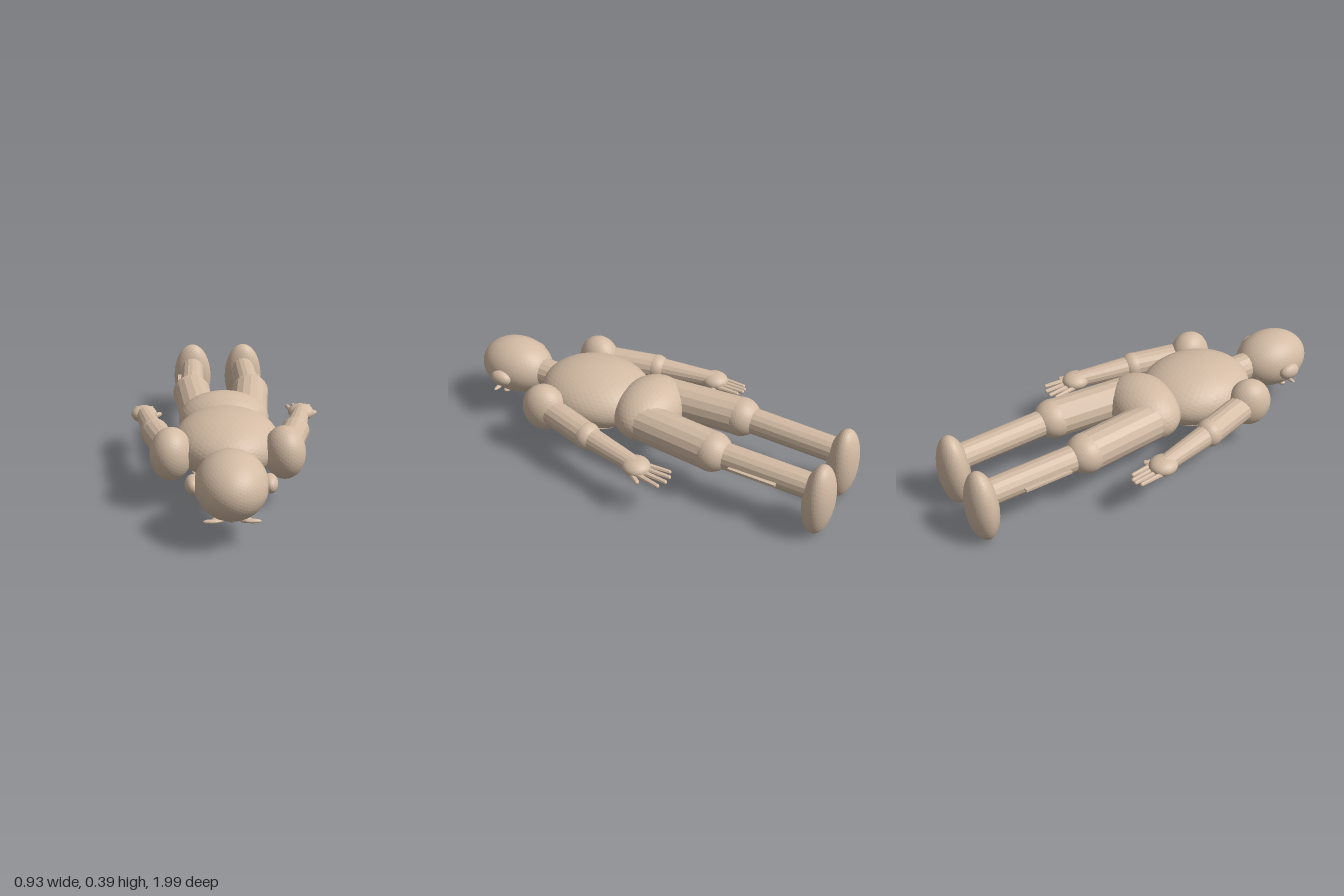
import * as THREE from 'three';

export function createModel() {
  const root = new THREE.Group();
  root.name = 'lyingFigure';
  const skin = new THREE.MeshStandardMaterial({ color: 0xd3bba4, flatShading: true });
  skin.name = 'tan skin';
  const CX = -0.01; // body's centre line

  const add = (name, geometry, parent = root) => {
    const mesh = new THREE.Mesh(geometry, skin);
    mesh.name = name;
    parent.add(mesh);
    return mesh;
  };

  // Ellipsoid at p with radii r
  const ball = (name, p, r, parent, detail = 7) => {
    const mesh = add(name, new THREE.IcosahedronGeometry(1, detail), parent);
    mesh.position.set(...p);
    mesh.scale.set(...r);
    return mesh;
  };

  // Tapered limb between two points
  const limb = (name, a, b, ra, rb, parent, sides = 16) => {
    const from = new THREE.Vector3(...a), to = new THREE.Vector3(...b);
    const dir = to.clone().sub(from);
    const mesh = add(name, new THREE.CylinderGeometry(rb, ra, dir.length(), sides), parent);
    mesh.position.copy(from).add(to).multiplyScalar(0.5);
    mesh.quaternion.setFromUnitVectors(new THREE.Vector3(0, 1, 0), dir.normalize());
    return mesh;
  };

  // Trunk and head, lying face down with the head at +z
  ball('torso', [CX, 0.245, 0.318], [0.243, 0.145, 0.285], root, 9);
  ball('bellyPatch', [CX, 0.12, 0.34], [0.16, 0.019, 0.2]);
  ball('pelvis', [CX, 0.248, 0.015], [0.217, 0.137, 0.16]);
  limb('neck', [CX, 0.243, 0.52], [CX, 0.243, 0.68], 0.07, 0.07);
  ball('head', [CX, 0.24, 0.805], [0.153, 0.14, 0.192], root, 10);
  ball('nose', [CX, 0.094, 0.825], [0.015, 0.014, 0.018], root, 3);
  ball('mouth', [CX, 0.1, 0.775], [0.035, 0.008, 0.012], root, 3);

  for (const s of [1, -1]) {
    const side = s > 0 ? 'left' : 'right';
    const x = (offset) => CX + s * offset;

    // Face details on the underside of the head
    ball(side + 'Ear', [x(0.157), 0.241, 0.8], [0.034, 0.04, 0.056], root, 4);
    ball(side + 'Eye', [x(0.058), 0.1, 0.845], [0.026, 0.013, 0.018], root, 3);
    ball(side + 'Brow', [x(0.083), 0.113, 0.885], [0.036, 0.009, 0.012], root, 3);

    // Leg
    const leg = new THREE.Group();
    leg.name = side + 'Leg';
    root.add(leg);
    const knee = [x(0.152), 0.25, -0.4];
    limb('thigh', [x(0.118), 0.25, 0], knee, 0.094, 0.094, leg);
    ball('knee', knee, [0.097, 0.094, 0.096], leg);
    limb('shin', knee, [x(0.144), 0.242, -0.92], 0.063, 0.061, leg);
    ball('foot', [x(0.145), 0.186, -0.927], [0.104, 0.186, 0.071], leg);
    const strip = add('calfStrip', new THREE.BoxGeometry(0.022, 0.012, 0.23), leg);
    strip.position.set(x(0.216), 0.242, -0.63);

    // Arm
    const arm = new THREE.Group();
    arm.name = side + 'Arm';
    root.add(arm);
    const shoulder = [x(0.25), 0.245, 0.464], elbow = [x(0.33), 0.237, 0.165];
    const hand = [x(0.392), 0.226, -0.138];
    ball('shoulder', shoulder, [0.093, 0.12, 0.108], arm).rotation.y = s * 0.2;
    limb('upperArm', shoulder, elbow, 0.067, 0.064, arm);
    ball('elbow', elbow, [0.067, 0.066, 0.062], arm);
    limb('forearm', elbow, hand, 0.054, 0.041, arm);
    ball('palm', hand, [0.064, 0.04, 0.068], arm, 5);

    // Fingers spread wider on the left hand; both thumbs point to +x
    const spread = s > 0 ? [-0.055, -0.022, 0.015, 0.056] : [-0.042, -0.018, 0.004, 0.032];
    spread.forEach((dx, i) => {
      const tip = [hand[0] + dx, 0.21, i % 3 ? -0.297 : -0.28];
      limb('finger' + (i + 1), [hand[0] - 0.039 + i * 0.026, 0.216, -0.16], tip, 0.013, 0.01, arm, 8);
      ball('fingerTip' + (i + 1), tip, [0.01, 0.01, 0.01], arm, 2);
    });
    const thumbTip = [hand[0] + 0.075, 0.207, -0.185];
    limb('thumb', [hand[0] + 0.035, 0.214, -0.12], thumbTip, 0.014, 0.012, arm, 8);
    ball('thumbTip', thumbTip, [0.012, 0.012, 0.012], arm, 2);
  }
  return root;
}
